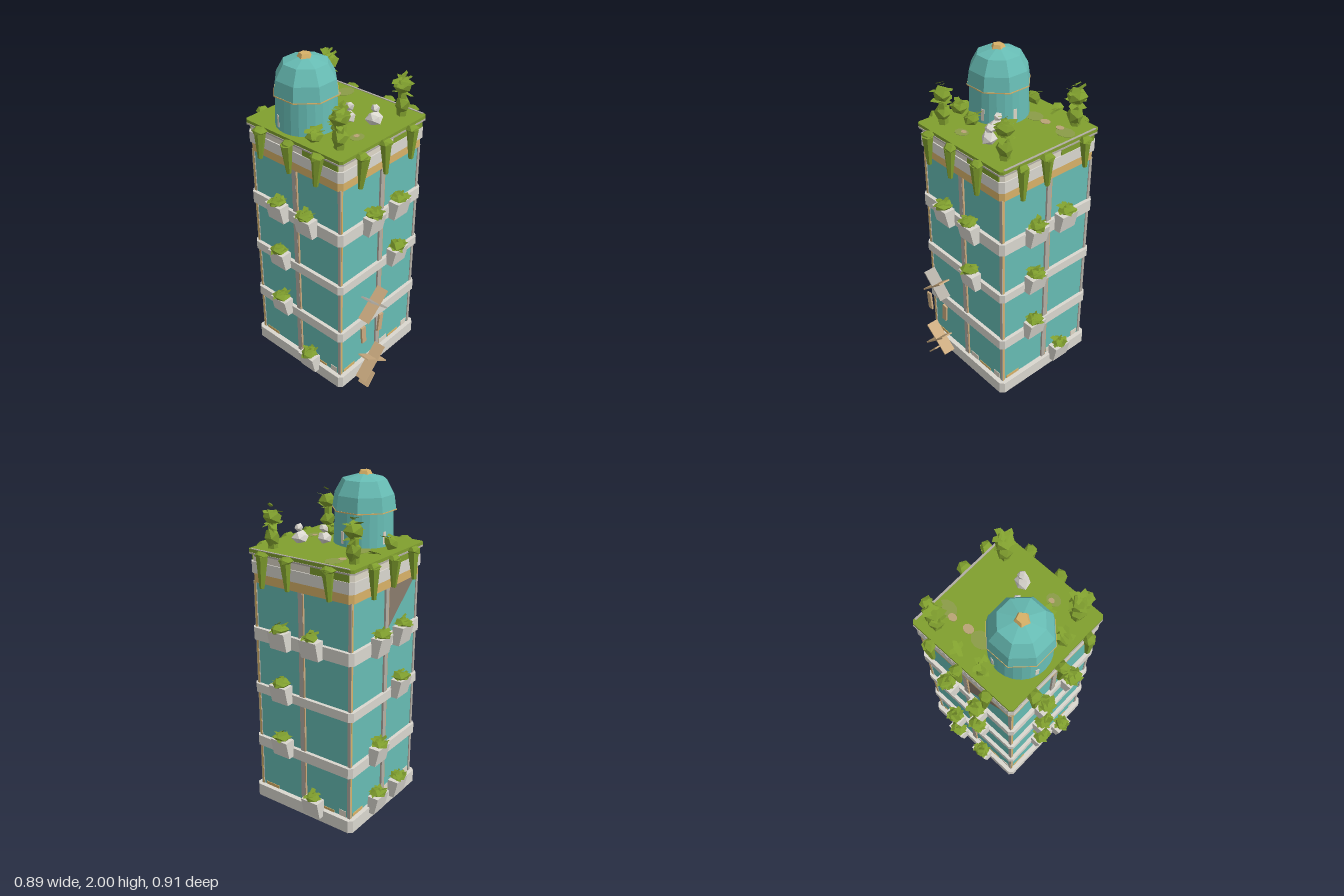
import * as THREE from 'three';

const mat = (name, color, extra = {}) => {
  const m = new THREE.MeshStandardMaterial({ color, flatShading: true, ...extra });
  m.name = name;
  return m;
};
const M = {
  glass: mat('teal glass', 0x67bcb4, { side: THREE.DoubleSide }),
  stone: mat('pale grey stone', 0xdad7cf),
  frame: mat('frame grey', 0xb3aea5),
  cream: mat('cream stone', 0xded8c8),
  tan: mat('tan trim', 0xd8b268),
  wood: mat('board wood', 0xcbab80),
  brown: mat('weathered brown', 0x8a7b6c, { side: THREE.DoubleSide }),
  grass: mat('leaf green', 0x809f2e, { side: THREE.DoubleSide }),
  moss: mat('dry moss', 0x8b9c48),
  soil: mat('bare soil', 0xb9a476),
};

let seed = 7;
const rnd = () => (seed = (seed * 16807) % 2147483647) / 2147483647;
const jit = (a) => (rnd() - 0.5) * 2 * a;

function add(parent, name, geo, material, x = 0, y = 0, z = 0) {
  const m = new THREE.Mesh(geo, material);
  m.name = name;
  m.position.set(x, y, z);
  parent.add(m);
  return m;
}
const box = (p, name, m, w, h, d, x, y, z) => add(p, name, new THREE.BoxGeometry(w, h, d), m, x, y, z);

// Square slab with chamfered corners, from y0 to y1
function slab(p, name, m, half, y0, y1, c = 0.022) {
  const s = new THREE.Shape([[-half + c, -half], [half - c, -half], [half, -half + c], [half, half - c],
    [half - c, half], [-half + c, half], [-half, half - c], [-half, -half + c]].map((a) => new THREE.Vector2(...a)));
  const g = new THREE.ExtrudeGeometry(s, { depth: y1 - y0, bevelEnabled: false });
  g.rotateX(-Math.PI / 2);
  return add(p, name, g, m, 0, y0, 0);
}

// Irregular clump: shared corners shift together
function clump(p, name, m, r, x, y, z, sy = 1) {
  const g = new THREE.IcosahedronGeometry(r, 0);
  const pos = g.attributes.position, moved = {};
  for (let i = 0; i < pos.count; i++) {
    const v = new THREE.Vector3().fromBufferAttribute(pos, i);
    const key = v.toArray().map((n) => n.toFixed(4)).join();
    moved[key] ??= 0.8 + rnd() * 0.4;
    v.multiplyScalar(moved[key]);
    pos.setXYZ(i, v.x, v.y * sy, v.z);
  }
  return add(p, name, g, m, x, y, z);
}

// Ring of broad pointed leaves
function leaves(p, n, len, x, y, z, lift) {
  for (let i = 0; i < n; i++) {
    const s = new THREE.Shape();
    s.moveTo(0, -len * 0.3).lineTo(len * 0.75, -len * 0.3).lineTo(len, len * 0.1).lineTo(0, len * 0.4);
    const l = add(p, 'leaf', new THREE.ShapeGeometry(s), M.grass, x, y + jit(0.008), z);
    l.rotation.set(-Math.PI / 2 + jit(0.4), -lift + jit(0.25), (i / n) * Math.PI * 2 + jit(0.3));
  }
}

function planter(side, u, y) {
  const g = new THREE.Group();
  g.name = 'planter';
  g.position.set(u, y, 0.383);
  const b = new THREE.BoxGeometry(0.118, 0.112, 0.07), pos = b.attributes.position;
  for (let i = 0; i < pos.count; i++) {
    if (pos.getY(i) < 0 && pos.getZ(i) > 0) pos.setZ(i, pos.getZ(i) - 0.025);
  }
  b.computeVertexNormals();
  add(g, 'planterBox', b, M.stone);
  clump(g, 'planterBush', M.grass, 0.052, 0, 0.068, 0, 0.5);
  leaves(g, 6, 0.062, 0, 0.075, 0, 0.1);
  leaves(g, 3, 0.028, 0, 0.1, 0, 0.5);
  side.add(g);
}

function vine(side, u) {
  const drop = 0.17 + jit(0.02);
  const g = new THREE.CylinderGeometry(0.034, 0.014, drop, 6, 2);
  const v = add(side, 'hangingVine', g, M.grass, u, 1.585 - drop / 2, 0.38);
  v.rotation.set(jit(0.06), rnd() * 3, jit(0.08));
  clump(side, 'vineHead', M.grass, 0.038, u, 1.585, 0.378, 0.6);
}

function tallPlant(p, x, z) {
  const g = new THREE.Group();
  g.name = 'tallPlant';
  g.position.set(x, 1.6, z);
  add(g, 'stem', new THREE.CylinderGeometry(0.022, 0.03, 0.2, 5), M.grass, 0, 0.1, 0);
  clump(g, 'lowerFoliage', M.grass, 0.046, 0, 0.06, 0, 1.1);
  clump(g, 'upperFoliage', M.grass, 0.054, 0, 0.175, 0, 0.8);
  leaves(g, 5, 0.07, 0, 0.2, 0, 0.1);
  leaves(g, 5, 0.066, 0, 0.14, 0, -0.2);
  leaves(g, 3, 0.035, 0, 0.235, 0, 0.5);
  p.add(g);
}

function bush(p, x, z) {
  clump(p, 'bush', M.grass, 0.046, x, 1.635, z, 0.8);
  leaves(p, 5, 0.06, x, 1.66, z, 0.25);
}

export function createModel() {
  const root = new THREE.Group();
  root.name = 'overgrownTower';
  const tower = new THREE.Group();
  tower.name = 'tower';
  tower.position.z = -0.02;
  root.add(tower);

  // Glass body and floor bands
  box(tower, 'glassBody', M.glass, 0.66, 1.36, 0.66, 0, 0.74, 0);
  slab(tower, 'base', M.stone, 0.36, 0.01, 0.09);
  box(tower, 'baseStrip', M.cream, 0.025, 0.006, 0.7, 0, 0.009, 0);
  for (const [y0, y1] of [[0.37, 0.435], [0.73, 0.785], [1.065, 1.14]]) slab(tower, 'floorBand', M.stone, 0.352, y0, y1);

  // Cornice and planted roof
  slab(tower, 'corniceTrim', M.tan, 0.342, 1.41, 1.465);
  slab(tower, 'corniceBand', M.stone, 0.35, 1.465, 1.53);
  slab(tower, 'parapet', M.cream, 0.343, 1.53, 1.573);
  slab(tower, 'roofRim', M.frame, 0.358, 1.573, 1.582);
  slab(tower, 'roofGrass', M.grass, 0.354, 1.582, 1.6, 0.014);
  box(tower, 'roofEdge', M.frame, 0.012, 0.006, 0.66, 0.347, 1.6, 0);

  // Four sides: front, left, back, right
  const planters = [
    [[3, -0.11], [3, 0.11], [2, 0.11]],
    [[3, -0.12], [3, 0.1], [2, -0.12], [1, -0.12], [0, 0.1]],
    [[3, -0.11], [3, 0.11], [2, 0.11], [1, -0.11], [0, 0.11], [0, -0.11]],
    [[3, -0.1], [3, 0.12], [2, -0.1], [1, -0.1], [0, 0.12]],
  ];
  const vines = [[-0.22, -0.03, 0.19], [0.22, -0.06, -0.23], [0.2, 0, -0.2], [-0.21, 0, 0.21]];
  const levels = [0.107, 0.437, 0.787, 1.118];
  const names = ['frontSide', 'leftSide', 'backSide', 'rightSide'];
  for (let i = 0; i < 4; i++) {
    const side = new THREE.Group();
    side.name = names[i];
    side.rotation.y = (i * Math.PI) / 2;
    tower.add(side);
    box(side, 'mullion', M.frame, 0.028, 1.33, 0.02, 0, 0.745, 0.332);
    box(side, 'mullionTrim', M.wood, 0.006, 1.33, 0.02, 0.017, 0.745, 0.331);
    box(side, 'cornerPost', M.frame, 0.02, 1.34, 0.02, -0.325, 0.745, 0.325);
    box(side, 'cornerTrim', M.tan, 0.006, 1.34, 0.012, 0.333, 0.745, 0.324);
    for (const [l, u] of planters[i]) planter(side, u, levels[l]);
    for (const u of vines[i]) vine(side, u);
    box(side, 'grassFringe', M.grass, 0.25, 0.045, 0.006, 0.2, 1.553, 0.344);
    // Dirt on the ground floor glass
    for (const [u, w, h, m] of [[-0.25, 0.1, 0.02, 'tan'], [0.07, 0.07, 0.035, 'cream'], [0.17, 0.1, 0.016, 'tan'], [0.28, 0.05, 0.04, 'cream']])
      box(side, 'dirtStain', M[m], w, h, 0.004, u, 0.09 + h / 2, 0.331);
  }

  // Broken upper pane at the back
  const hole = new THREE.Shape([[0.02, 1.41], [0.31, 1.41], [0.02, 1.16]].map((a) => new THREE.Vector2(...a)));
  const gap = add(tower, 'brokenPane', new THREE.ShapeGeometry(hole), M.brown, 0, 0, -0.3325);
  gap.rotation.y = Math.PI;

  // Roof dome: round drum under an eight-sided shell
  const dome = new THREE.Group();
  dome.name = 'dome';
  dome.position.set(-0.155, 0, -0.093);
  root.add(dome);
  add(dome, 'drum', new THREE.CylinderGeometry(0.164, 0.172, 0.21, 24), M.glass, 0, 1.7, 0);
  const shell = (pts) => new THREE.LatheGeometry(pts.map((a) => new THREE.Vector2(...a)), 8, Math.PI / 8);
  add(dome, 'domeShell', shell([[0.183, 1.79], [0.17, 1.875], [0.125, 1.955], [0, 1.99]]), M.glass);
  add(dome, 'domeRim', shell([[0.16, 1.788], [0.185, 1.788], [0.185, 1.794], [0.16, 1.794]]), M.tan);
  add(dome, 'domeCap', new THREE.CylinderGeometry(0.03, 0.042, 0.022, 5), M.tan, -0.005, 1.989, 0);
  for (const a of [0.3, 1.4, 2.9, 4.4]) {
    const s = box(dome, 'drumStain', M.cream, 0.02, 0.07, 0.006, Math.sin(a) * 0.168, 1.65, Math.cos(a) * 0.168);
    s.rotation.y = a;
  }

  // Roof plants, rocks and bare patches
  for (const [x, z] of [[-0.25, 0.23], [0.26, 0.23], [0.24, -0.3]]) tallPlant(root, x, z);
  for (const [x, z] of [[-0.1, -0.31], [-0.29, 0.09], [-0.13, 0.12]]) bush(root, x, z);
  leaves(root, 4, 0.05, 0.07, 1.62, -0.32, 0.3);
  for (const [x, z] of [[0.005, 0.06], [0.08, 0.18]]) {
    clump(root, 'rock', M.stone, 0.045, x, 1.63, z, 0.8);
    clump(root, 'rockTop', M.stone, 0.028, x + 0.01, 1.685, z, 0.9);
  }
  const patches = [[0.02, -0.2, 0.06, 'moss'], [0.27, -0.195, 0.06, 'moss'], [-0.1, 0.22, 0.044, 'moss'],
    [0.11, -0.2, 0.032, 'soil'], [0.215, -0.21, 0.026, 'soil'], [-0.095, 0.21, 0.018, 'soil']];
  for (const [x, z, r, m] of patches) {
    const h = m === 'soil' ? 0.006 : 0.003;
    add(root, m + 'Patch', new THREE.CylinderGeometry(r, r, h, 10), M[m], x, 1.6, z).scale.z = 0.8;
  }

  // Loose boards barring the front windows
  const boards = [[-0.16, 0.6, 0.22, 0.7, 'wood'], [-0.15, 0.61, 0.2, -0.75, 'frame'],
    [-0.17, 0.15, 0.24, 0.75, 'wood'], [-0.15, 0.17, 0.22, -0.65, 'wood'], [-0.2, 0.04, 0.1, 0.85, 'wood']];
  for (const [x, y, len, a, m] of boards) {
    box(root, 'board', M[m], len, 0.009, 0.075, x, y, 0.412).rotation.z = a;
  }
  for (const [x, a] of [[-0.24, 0.08], [-0.09, -0.12]]) {
    box(root, 'uprightBoard', M.wood, 0.035, 0.12, 0.012, x, 0.42, 0.41).rotation.z = a;
  }
  return root;
}
